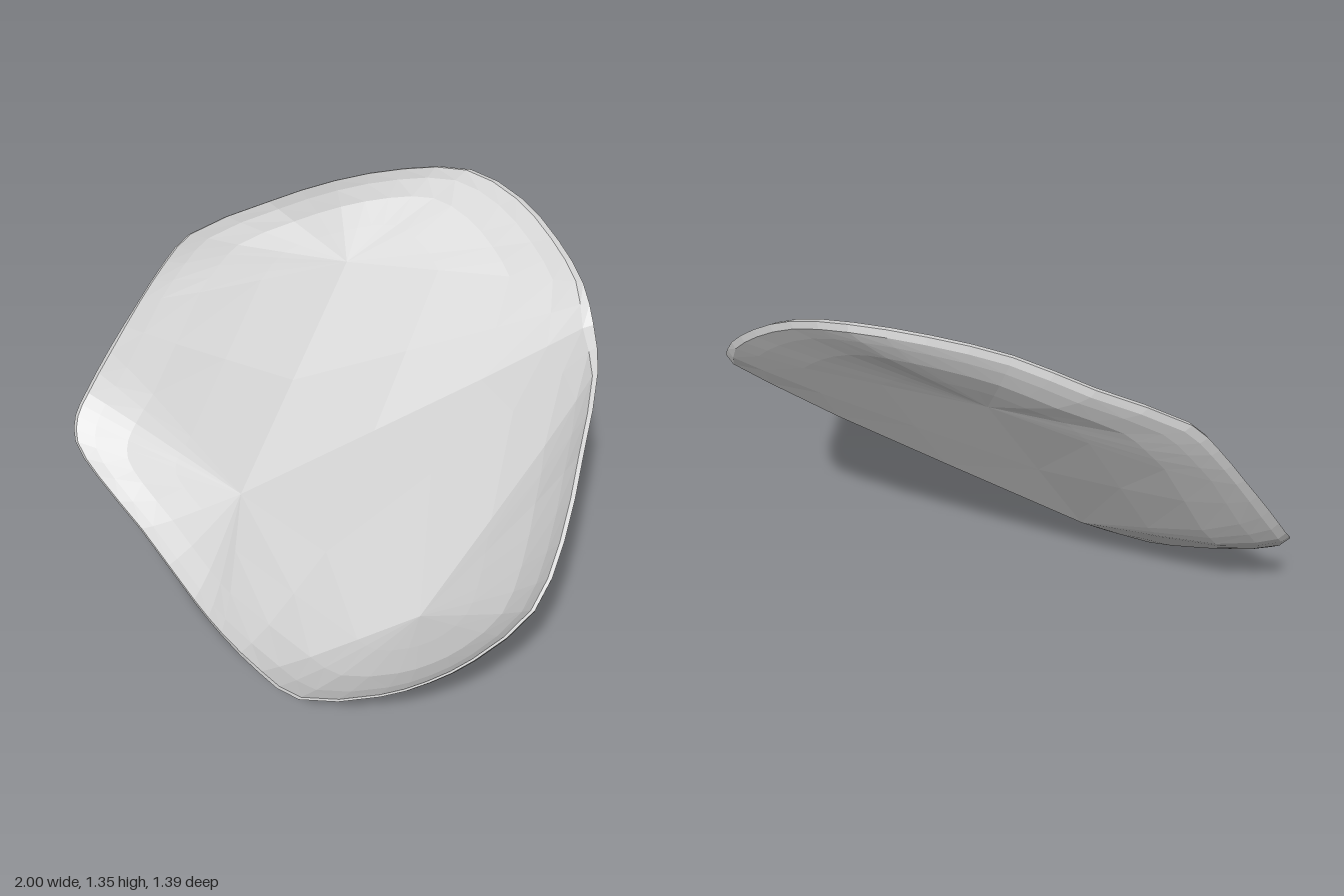
import * as THREE from 'three';

const V = (x, y, z) => new THREE.Vector3(x, y, z);

// Low points of the bowl: front left basin, middle fold, upper basin
const A = V(0.58, 0.25, 0.21), B = V(-0.29, 0.25, 0.19), C = V(-0.26, 1.01, -0.34);

// Wavy rim, counter-clockwise from the lowest point: x, y, z and the basin it falls to
const RIM = [
  [-0.2, 0.01, 0.53, B], [0, 0.02, 0.58, B], [0.25, 0.08, 0.645, A], [0.48, 0.17, 0.69, A],
  [0.75, 0.33, 0.61, A], [0.87, 0.42, 0.53, A], [0.95, 0.49, 0.42, A], [1, 0.57, 0.2, A],
  [0.95, 0.68, 0, A], [0.83, 0.82, -0.25, A], [0.7, 0.94, -0.49, A], [0.59, 1.01, -0.61, B],
  [0.5, 1.11, -0.66, C], [0.37, 1.21, -0.685, C], [0.2, 1.3, -0.695, C], [0, 1.345, -0.67, C],
  [-0.2, 1.32, -0.56, C], [-0.4, 1.255, -0.42, C], [-0.6, 1.15, -0.285, C], [-0.82, 1.01, -0.09, C],
  [-0.88, 0.9, -0.01, C], [-0.93, 0.75, 0.09, C], [-0.975, 0.58, 0.21, B], [-1, 0.43, 0.32, B],
  [-0.99, 0.36, 0.39, B], [-0.94, 0.29, 0.44, B], [-0.8, 0.21, 0.46, B], [-0.55, 0.1, 0.47, B],
];
const UP = V(0, 0.74, 0.67).normalize(); // facing of the open side
const HALF = 0.016;                      // half the shell thickness
const SUB = 2;                           // rim samples per point

function shellGeometry() {
  const curve = new THREE.CatmullRomCurve3(RIM.map(p => V(p[0], p[1], p[2])), true, 'centripetal');
  const n = RIM.length * SUB;
  const rim = [], basin = [];
  for (let i = 0; i < n; i++) {
    const k = Math.floor(i / SUB);
    rim.push(curve.getPoint(i / n));
    basin.push(RIM[k][3].clone().lerp(RIM[(k + 1) % RIM.length][3], (i % SUB) / SUB));
  }
  // Ring at fraction t from basin to rim, sagging into a bowl where the rim rises
  const ring = (t, side) => rim.map((r, i) => {
    const rise = Math.max(0, r.clone().sub(basin[i]).dot(UP));
    const sag = (0.9 * rise + 0.08) * t * t * (1 - t);
    return basin[i].clone().lerp(r, t).addScaledVector(UP, side * HALF - sag);
  });
  const steps = [0, 0.4, 0.7, 0.88, 0.975];
  const rings = [
    ...steps.map(t => ring(t, 1)),                    // inside, from basins outwards
    rim,                                              // edge
    ...steps.slice().reverse().map(t => ring(t, -1)), // outside, back to the basins
  ];
  const pos = [];
  const tri = (a, b, c) => {
    const area = b.clone().sub(a).cross(c.clone().sub(a)).length();
    if (area > 1e-7) for (const p of [a, b, c]) pos.push(p.x, p.y, p.z);
  };
  for (let k = 0; k < rings.length - 1; k++) {
    for (let i = 0; i < n; i++) {
      const j = (i + 1) % n, p = rings[k], q = rings[k + 1];
      tri(p[i], q[i], q[j]);
      tri(p[i], q[j], p[j]);
    }
  }
  // Flat web joining the three basins, inside and outside
  for (const side of [1, -1]) {
    const [a, b, c] = [A, B, C].map(p => p.clone().addScaledVector(UP, side * HALF));
    const mid = RIM[11][3].clone().addScaledVector(UP, side * HALF);
    if (side > 0) { tri(a, mid, b); tri(b, mid, c); } else { tri(a, b, mid); tri(b, c, mid); }
  }
  const g = new THREE.BufferGeometry();
  g.setAttribute('position', new THREE.Float32BufferAttribute(pos, 3));
  g.computeVertexNormals();
  // Stand on the ground, centred
  g.computeBoundingBox();
  const { min, max } = g.boundingBox;
  g.translate(-(min.x + max.x) / 2, -min.y, -(min.z + max.z) / 2);
  return g;
}

export function createModel() {
  const group = new THREE.Group();
  group.name = 'curvedShell';
  const paleGrey = new THREE.MeshStandardMaterial({ color: 0xcccccc, flatShading: true });
  paleGrey.name = 'paleGrey';
  const shell = new THREE.Mesh(shellGeometry(), paleGrey);
  shell.name = 'shell';
  group.add(shell);
  return group;
}
